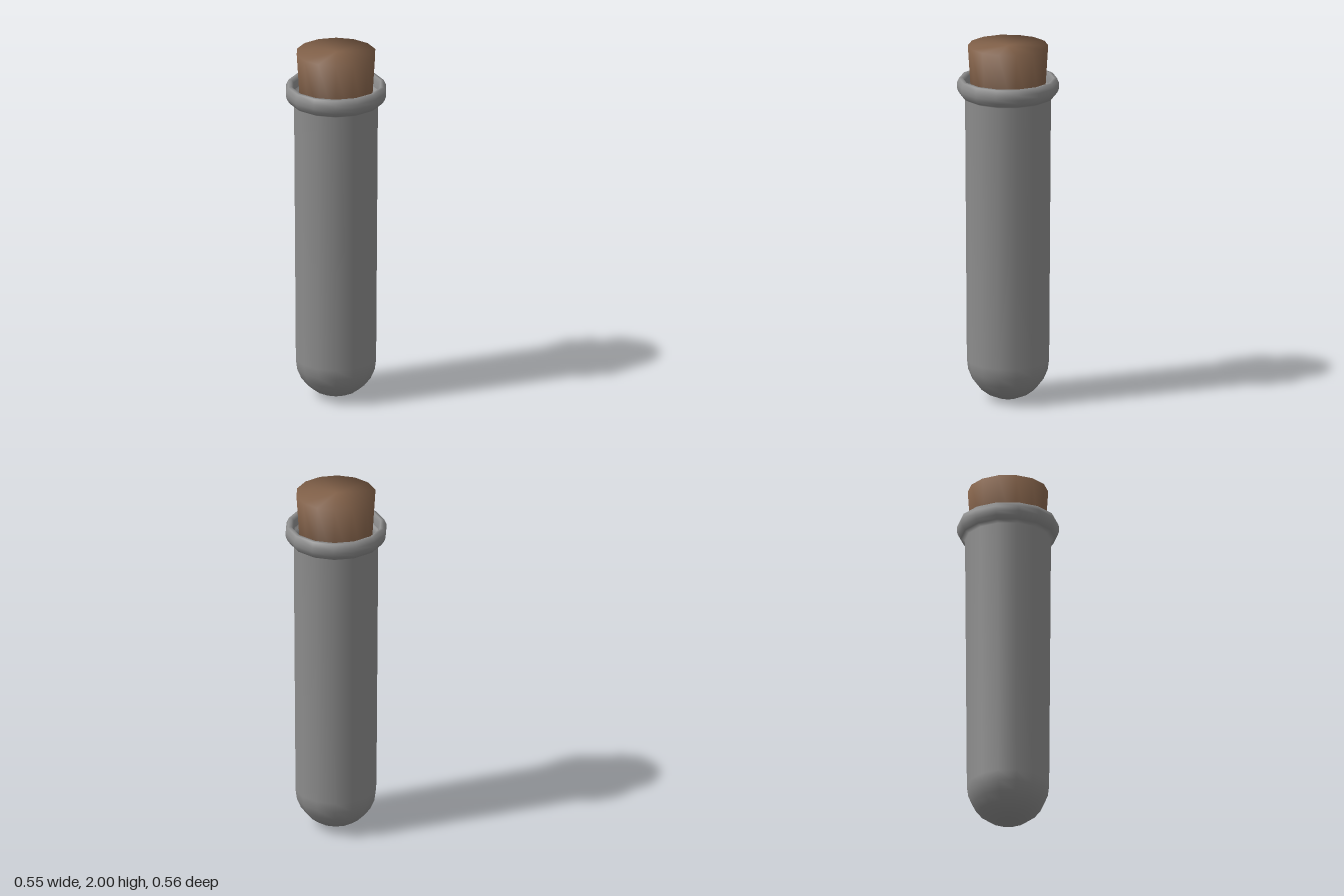
import * as THREE from 'three';

const SIDES = 14;

// Smooth turned part from [radius, height] pairs, listed from bottom to top
function turned(name, profile, material) {
  const points = profile.map(([r, y]) => new THREE.Vector2(r, y));
  const mesh = new THREE.Mesh(new THREE.LatheGeometry(points, SIDES), material);
  mesh.name = name;
  return mesh;
}

// Shade flat end caps evenly from edge to edge, as if they had no centre point
function evenCaps(geometry) {
  const { position, normal } = geometry.attributes;
  for (let i = 0; i < position.count; i++) {
    if (Math.hypot(position.getX(i), position.getZ(i)) < 1e-6) {
      normal.setXYZ(i, 0, Math.sign(normal.getY(i)) * 0.7, 0);
    }
  }
}

export function createModel() {
  const glass = new THREE.MeshStandardMaterial({ color: 0x8d8d8d, side: THREE.DoubleSide });
  const corkMaterial = new THREE.MeshStandardMaterial({ color: 0x83624a });
  const group = new THREE.Group();
  group.name = 'corkedTube';

  // Round bottom, then one slightly flaring wall that runs into a rolled lip
  const profile = [];
  const steps = 6, radius = 0.225, bottomHeight = 0.22;
  for (let i = 0; i <= steps; i++) {
    const a = (i / steps) * Math.PI / 2;
    profile.push([radius * Math.sin(a), bottomHeight * (1 - Math.cos(a))]);
  }
  profile.push(
    [0.235, 1.705], [0.258, 1.718], [0.272, 1.738], [0.28, 1.76], [0.28, 1.787],
    [0.268, 1.814], [0.25, 1.816], [0.238, 1.8], [0.234, 1.76],
  );
  group.add(turned('tube', profile, glass));

  // Tapered stopper reaching down into the neck
  const cork = turned('cork', [[0, 1.64], [0.197, 1.64], [0.22, 2], [0, 2]], corkMaterial);
  evenCaps(cork.geometry);
  group.add(cork);

  return group;
}
